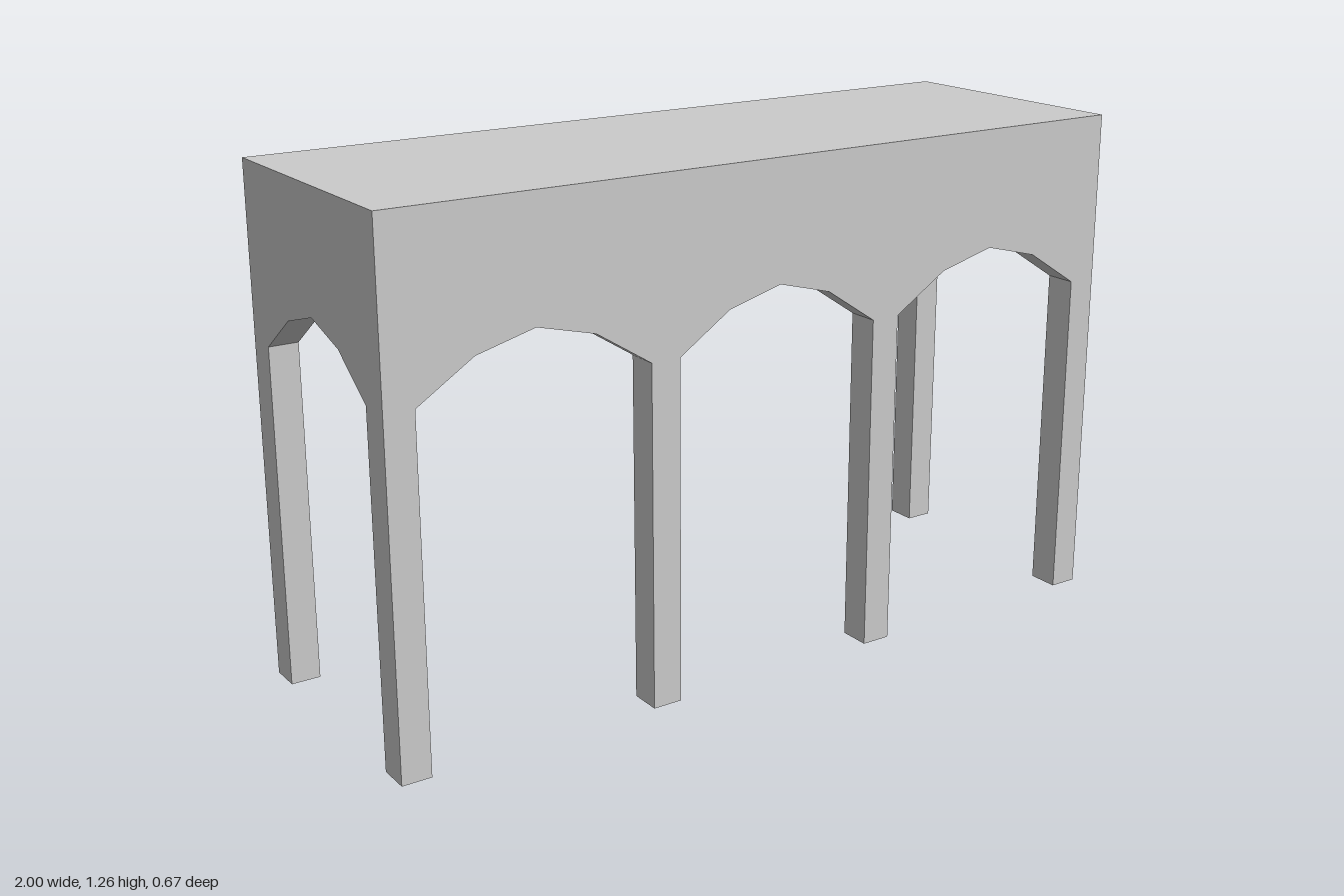
import * as THREE from 'three';

const HALF_X = 1, HALF_Z = 0.337, TOP = 1.264, CEILING = 1.07;
const POST_X = 0.073, POST_Z = 0.079;
const material = new THREE.MeshStandardMaterial({ color: 0xcccccc, flatShading: true });

// Points of one faceted pointed arch from u0 to u1, springing at 0.842
function archPoints(u0, u1) {
  const mid = (u0 + u1) / 2, half = (u1 - u0) / 2;
  return [[-1, 0.842], [-0.51, 0.932], [0, 0.97], [0.51, 0.932], [1, 0.842]]
    .map(([t, y]) => new THREE.Vector2(mid + t * half, y));
}

// Wall from -half to half under the roof; legs drop to the ground between arches
function arcadeWall(half, arches, thickness) {
  const points = [new THREE.Vector2(-half, CEILING)];
  let u = -half;
  const addLeg = (from, to) => {
    if (to - from > 1e-4) points.push(new THREE.Vector2(from, 0), new THREE.Vector2(to, 0));
  };
  for (const [u0, u1] of arches) {
    addLeg(u, u0);
    points.push(...archPoints(u0, u1));
    u = u1;
  }
  addLeg(u, half);
  points.push(new THREE.Vector2(half, CEILING));
  return new THREE.ExtrudeGeometry(new THREE.Shape(points), { depth: thickness, bevelEnabled: false });
}

export function createModel() {
  const group = new THREE.Group();
  group.name = 'arcade';
  const add = (name, geometry, x, y, z) => {
    const mesh = new THREE.Mesh(geometry, material);
    mesh.name = name;
    mesh.position.set(x, y, z);
    group.add(mesh);
  };

  // Solid roof slab, its rear edge forms the straight back lintel
  add('roof', new THREE.BoxGeometry(2 * HALF_X, TOP - CEILING, 2 * HALF_Z), 0, (TOP + CEILING) / 2, 0);

  // Front wall: three arches on two middle posts, fitted between the end walls
  const inner = HALF_X - POST_X;
  const front = arcadeWall(inner, [[-inner, -0.351], [-0.276, 0.276], [0.351, inner]], POST_Z);
  add('frontArcade', front, 0, 0, HALF_Z - POST_Z);

  // End walls: one arch each, with the corner posts
  const end = arcadeWall(HALF_Z, [[-HALF_Z + POST_Z, HALF_Z - POST_Z]], POST_X).rotateY(-Math.PI / 2);
  add('leftEndWall', end, HALF_X, 0, 0);
  add('rightEndWall', end, -HALF_X + POST_X, 0, 0);

  return group;
}
